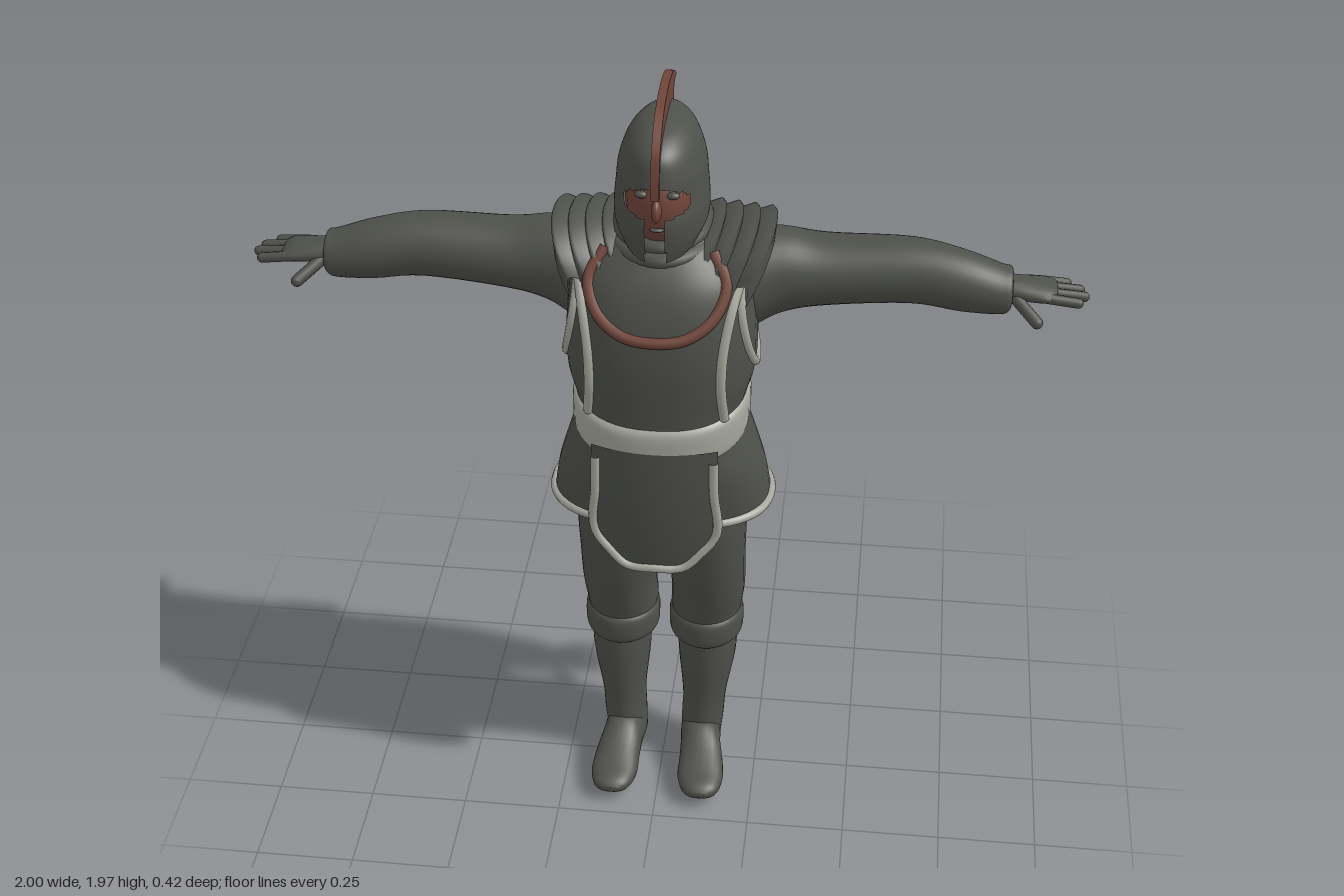
import * as THREE from 'three';

const mat = (name, color, side = THREE.DoubleSide) =>
  Object.assign(new THREE.MeshStandardMaterial({ color, side }), { name });
const V = (x, y, z) => new THREE.Vector3(x, y, z);

// Smoothly resample a short list of cross-sections [t, a, b, ra, rb]
function rings(sections, steps = 5) {
  const at = (i) => sections[Math.min(Math.max(i, 0), sections.length - 1)];
  const out = [];
  for (let i = 0; i < sections.length - 1; i++)
    for (let k = 0; k < steps; k++) {
      const u = k / steps, p = [at(i - 1), at(i), at(i + 1), at(i + 2)];
      out.push(p[1].map((v, c) => {
        const [a, b, d, e] = p.map((q) => q[c]);
        const r = 0.5 * (2 * b + (d - a) * u + (2 * a - 5 * b + 4 * d - e) * u * u + (3 * b - a - 3 * d + e) * u ** 3);
        return c > 2 ? Math.max(r, 0.001) : r;
      }));
    }
  out.push(sections[sections.length - 1]);
  return out;
}

function build(pos, idx) {
  const g = new THREE.BufferGeometry();
  g.setAttribute('position', new THREE.Float32BufferAttribute(pos, 3));
  g.setIndex(idx);
  g.computeVertexNormals();
  return g;
}

// Skin a stack of superellipse rings running along one axis
function loft(sections, { axis = 'y', n = 32, p = 2, steps = 5, warp, hole, caps = true } = {}) {
  const R = rings(sections, steps), pos = [], idx = [];
  const place = { y: (t, a, b) => V(a, t, b), x: (t, a, b) => V(t, b, a), z: (t, a, b) => V(b, a, t) }[axis];
  const pow = (c) => Math.sign(c) * Math.abs(c) ** (2 / p);
  const pts = [];
  for (const [t, a, b, ra, rb] of R)
    for (let j = 0; j < n; j++) {
      const th = (j / n) * Math.PI * 2;
      const q = place(t, a + ra * pow(Math.cos(th)), b + rb * pow(Math.sin(th)));
      if (warp) warp(q);
      pts.push(q);
    }
  for (let i = 0; i < R.length - 1; i++)
    for (let j = 0; j < n; j++) {
      const a = i * n + j, b = i * n + ((j + 1) % n), c = a + n, d = b + n;
      if (hole && hole(pts[a].clone().add(pts[d]).multiplyScalar(0.5))) continue;
      idx.push(a, c, b, b, c, d);
    }
  if (caps) {
    const last = (R.length - 1) * n, m = pts.length;
    for (const r of [R[0], R[R.length - 1]]) pts.push(place(r[0], r[1], r[2]));
    for (let j = 0; j < n; j++) {
      const k = (j + 1) % n;
      idx.push(m, j, k, m + 1, last + k, last + j);
    }
  }
  pts.forEach((q) => pos.push(q.x, q.y, q.z));
  return build(pos, idx);
}

// Surface grid from a rule fn(u, v)
function sheet(fn, nu, nv) {
  const pos = [], idx = [];
  for (let i = 0; i <= nu; i++) for (let j = 0; j <= nv; j++) pos.push(...fn(i / nu, j / nv));
  for (let i = 0; i < nu; i++)
    for (let j = 0; j < nv; j++) {
      const a = i * (nv + 1) + j, b = a + nv + 1;
      idx.push(a, a + 1, b, b, a + 1, b + 1);
    }
  return build(pos, idx);
}

const tube = (pts, r, closed = false) =>
  new THREE.TubeGeometry(new THREE.CatmullRomCurve3(pts, closed), 64, r, 8, closed);

function mirrored(geo) {
  const g = geo.clone().scale(-1, 1, 1), ix = g.index.array;
  for (let i = 0; i < ix.length; i += 3) [ix[i], ix[i + 1]] = [ix[i + 1], ix[i]];
  return g;
}

export function createModel() {
  const dark = mat('dark grey', 0x4e504a), light = mat('pale trim', 0xa6a79d), brown = mat('red brown', 0x70453a);
  const model = new THREE.Group();
  model.name = 'warrior';
  const add = (name, geo, m) => {
    const mesh = new THREE.Mesh(geo, m);
    mesh.name = name;
    model.add(mesh);
  };
  const pair = (name, geo, m) => {
    add(name + 'Left', geo, m);
    add(name + 'Right', mirrored(geo), m);
  };

  // Torso and skirt
  const P = 2.4;
  const torso = [[1.08, 0, 0.01, 0.2, 0.185], [1.2, 0, 0.01, 0.205, 0.19], [1.28, 0, 0.005, 0.225, 0.2], [1.37, 0, 0.003, 0.228, 0.205],
    [1.46, 0, 0, 0.222, 0.198], [1.54, 0, -0.012, 0.212, 0.18], [1.6, 0, -0.025, 0.165, 0.148], [1.65, 0, -0.03, 0.09, 0.1]];
  const skirt = [[0.885, 0, -0.012, 0.27, 0.178], [0.97, 0, 0, 0.257, 0.185], [1.05, 0, 0.01, 0.235, 0.19], [1.14, 0, 0.01, 0.205, 0.19]];
  add('torso', loft(torso, { p: P, n: 48 }), dark);
  add('skirt', loft(skirt, { p: P, n: 48, caps: false }), dark);
  const torsoRings = rings(torso, 8);
  const sectionAt = (y) => torsoRings.reduce((a, b) => (Math.abs(b[0] - y) < Math.abs(a[0] - y) ? b : a));
  const edge = (d, r) => Math.max(0, 1 - Math.abs(d / r) ** P) ** (1 / P);
  const onZ = (x, y, sign = 1) => { const s = sectionAt(y); return V(x, y, s[2] + sign * s[4] * edge(x, s[3])); };
  const onX = (y, z) => { const s = sectionAt(y); return V(s[3] * edge(z - s[2], s[4]), y, z); };

  // Belt, dipping at the front
  add('belt', loft([[1.105, 0, 0.01, 0.2, 0.185], [1.125, 0, 0.01, 0.213, 0.198], [1.165, 0, 0.01, 0.216, 0.201],
    [1.205, 0, 0.01, 0.214, 0.199], [1.22, 0, 0.01, 0.2, 0.185]],
  { p: P, n: 48, warp: (q) => { q.y -= 0.03 * (Math.max(0, q.z) / 0.21) ** 2; } }), light);

  // Front flap and its trim
  const flapBottom = (x) => 0.77 + 0.1 * THREE.MathUtils.smoothstep(Math.abs(x), 0.06, 0.155);
  const flapZ = (x, y) => 0.214 - 1.4 * x * x - 0.03 * ((1.12 - y) / 0.35) ** 2;
  add('frontFlap', sheet((u, v) => {
    const x = (u * 2 - 1) * 0.152, y = THREE.MathUtils.lerp(1.13, flapBottom(x), v);
    return [x, y, flapZ(x, y)];
  }, 24, 16), dark);
  const half = [[0.142, 1.1], [0.144, 1], [0.153, 0.9], [0.145, 0.86], [0.115, 0.82], [0.07, 0.775]];
  const outline = [...half, [0, 0.772], ...half.map(([x, y]) => [-x, y]).reverse()];
  add('flapTrim', tube(outline.map(([x, y]) => V(x, y, flapZ(x, y))), 0.012), light);
  const hem = [];
  for (let i = 0; i < 40; i++) {
    const t = (i / 40) * Math.PI * 2, f = (c) => Math.sign(c) * Math.abs(c) ** (2 / P);
    hem.push(V(0.27 * f(Math.cos(t)), 0.892, -0.012 + 0.178 * f(Math.sin(t))));
  }
  add('skirtHem', tube(hem, 0.012, true), light);

  // Tunic trim and brown collar
  pair('chestTrim', tube([[0.19, 1.55], [0.172, 1.48], [0.158, 1.39], [0.155, 1.3], [0.162, 1.2]].map(([x, y]) => onZ(x, y)), 0.013), light);
  pair('armholeTrim', tube([[1.56, 0.07], [1.47, 0.11], [1.38, 0.1], [1.31, 0.05], [1.285, -0.02], [1.31, -0.09], [1.38, -0.14],
    [1.46, -0.165], [1.55, -0.155]].map(([y, z]) => onX(y, z)), 0.012), light);
  add('backNeckTrim', tube([[0.13, 1.61], [0.08, 1.585], [0, 1.575], [-0.08, 1.585], [-0.13, 1.61]].map(([x, y]) => onZ(x, y, -1)), 0.013), light);
  const collar = [[0.125, 1.61], [0.16, 1.55], [0.135, 1.485], [0.075, 1.445]];
  add('collar', tube([...collar, [0, 1.435], ...collar.map(([x, y]) => [-x, y]).reverse()].map(([x, y]) => onZ(x, y)), 0.014), brown);

  // Neck wrapping
  add('neck', loft([[1.56, 0, -0.02, 0.09, 0.1], [1.72, 0, 0, 0.075, 0.09]]), dark);
  [[1.615, 0.115], [1.64, 0.1]].forEach(([y, r]) =>
    add('neckWrap', new THREE.TorusGeometry(r, 0.02, 10, 40).rotateX(Math.PI / 2 + 0.1).scale(1, 1, 1.15).translate(0, y, -0.02), dark));

  // Overlapping shoulder plates
  const lip = [[0, -0.02], [0.03, -0.004], [0.058, 0.004], [0.064, -0.004], [0.06, -0.05]];
  for (let i = 0; i < 4; i++)
    pair('shoulderPlate', sheet((u, v) => {
      const f = u * 2 - 1, [dx, dy] = lip[Math.round(v * 4)];
      return [0.08 + 0.04 * i + dx - 0.055 * f * f, 1.655 - 0.004 * i + dy - 0.1 * f * f, -0.045 + (0.14 + dx * 0.4) * Math.sin(f * 1.4)];
    }, 20, 4), dark);

  // Arms and hands
  pair('arm', loft([[0.12, -0.065, 1.465, 0.11, 0.11], [0.2, -0.07, 1.47, 0.115, 0.125], [0.28, -0.078, 1.49, 0.1, 0.105],
    [0.38, -0.082, 1.495, 0.094, 0.085], [0.58, -0.078, 1.507, 0.082, 0.078], [0.7, -0.064, 1.495, 0.074, 0.074],
    [0.79, -0.056, 1.482, 0.063, 0.06], [0.815, -0.056, 1.484, 0.057, 0.052], [0.82, -0.056, 1.486, 0.04, 0.035]], { axis: 'x' }), dark);
  pair('palm', loft([[0.79, -0.056, 1.488, 0.036, 0.03], [0.84, -0.056, 1.487, 0.045, 0.026], [0.9, -0.06, 1.483, 0.054, 0.021],
    [0.925, -0.06, 1.48, 0.045, 0.012]], { axis: 'x', n: 20 }), dark);
  const finger = (a, b, r) => {
    const g = new THREE.CapsuleGeometry(r, a.distanceTo(b) - r * 2, 4, 10);
    g.applyQuaternion(new THREE.Quaternion().setFromUnitVectors(V(0, 1, 0), b.clone().sub(a).normalize()));
    const m = a.clone().lerp(b, 0.5);
    return g.translate(m.x, m.y, m.z);
  };
  [[-0.1, 0.96, -0.112], [-0.074, 0.99, -0.084], [-0.047, 1, -0.053], [-0.02, 0.985, -0.02]].forEach(([z0, x1, z1]) =>
    pair('finger', finger(V(0.88, 1.485, z0), V(x1, 1.473, z1), 0.0125), dark));
  pair('thumb', finger(V(0.82, 1.482, -0.03), V(0.888, 1.437, 0.037), 0.015), dark);

  // Legs, knee cuffs and boots
  pair('thigh', loft([[0.45, 0.11, -0.055, 0.085, 0.09], [0.5, 0.11, -0.058, 0.092, 0.106], [0.58, 0.115, -0.04, 0.095, 0.115],
    [0.7, 0.113, -0.01, 0.098, 0.122], [0.85, 0.112, 0.005, 0.102, 0.138], [1, 0.11, 0, 0.1, 0.14]]), dark);
  pair('kneeCuff', loft([[0.402, 0.11, -0.055, 0.08, 0.09], [0.418, 0.11, -0.055, 0.094, 0.105], [0.45, 0.11, -0.055, 0.097, 0.109],
    [0.48, 0.11, -0.055, 0.095, 0.107], [0.496, 0.11, -0.055, 0.083, 0.094]]), dark);
  pair('bootShaft', loft([[0.05, 0.1, -0.05, 0.053, 0.06], [0.12, 0.104, -0.048, 0.056, 0.067], [0.2, 0.108, -0.052, 0.058, 0.073],
    [0.33, 0.113, -0.06, 0.075, 0.092], [0.45, 0.113, -0.06, 0.08, 0.095]]), dark);
  pair('foot', loft([[-0.115, 0.05, 0.1, 0.025, 0.02], [-0.1, 0.055, 0.1, 0.05, 0.04], [-0.05, 0.062, 0.1, 0.062, 0.053],
    [0.02, 0.069, 0.105, 0.062, 0.053], [0.08, 0.055, 0.112, 0.046, 0.058], [0.14, 0.045, 0.115, 0.033, 0.06],
    [0.19, 0.043, 0.117, 0.023, 0.045], [0.21, 0.044, 0.117, 0.008, 0.02]], { axis: 'z', p: 2.3, n: 24 }), dark);

  // Helmet with eye and mouth opening, lower at the cheeks than at the nape
  const opening = (q) => {
    const x = Math.abs(q.x);
    if (q.z < 0.05) return false;
    const eye = x < 0.075 && Math.abs(q.y - 1.775 + x * 0.1) < 0.032 * Math.sqrt(1 - (x / 0.076) ** 2) + 0.003;
    return eye || (q.y < 1.775 && x < 0.024);
  };
  add('helmet', loft([[1.645, 0, 0.005, 0.09, 0.15], [1.68, 0, 0.006, 0.108, 0.162], [1.72, 0, 0.008, 0.11, 0.167], [1.77, 0, 0.003, 0.106, 0.16],
    [1.82, 0, 0, 0.1, 0.158], [1.87, 0, -0.003, 0.082, 0.146], [1.9, 0, -0.008, 0.057, 0.112], [1.914, 0, -0.01, 0.028, 0.06],
    [1.918, 0, -0.01, 0.001, 0.001]],
  { n: 120, steps: 8, caps: false, hole: opening, warp: (q) => { if (q.y < 1.72) q.y -= (1.72 - q.y) * 0.35 * q.z / 0.15; } }), dark);

  // Face inside the helmet
  const ball = (sx, sy, sz, x, y, z) => new THREE.SphereGeometry(1, 24, 16).scale(sx, sy, sz).translate(x, y, z);
  add('face', ball(0.085, 0.13, 0.122, 0, 1.735, 0.012), brown);
  add('nose', ball(0.012, 0.028, 0.022, 0, 1.742, 0.135), brown);
  add('mouth', ball(0.017, 0.005, 0.01, 0, 1.69, 0.125), dark);
  pair('eye', ball(0.016, 0.009, 0.012, 0.036, 1.774, 0.115), dark);

  // Crest running from brow to nape, with a swept back tip
  const crest = new THREE.Shape();
  crest.moveTo(0.167, 1.785);
  crest.splineThru([[0.162, 1.84], [0.14, 1.9], [0.08, 1.95], [0, 1.972], [-0.08, 1.973], [-0.15, 1.957], [-0.2, 1.925]].map((c) => new THREE.Vector2(...c)));
  crest.splineThru([[-0.165, 1.926], [-0.14, 1.9], [-0.155, 1.86], [-0.163, 1.79], [-0.164, 1.68]].map((c) => new THREE.Vector2(...c)));
  [[-0.14, 1.68], [-0.135, 1.82], [-0.1, 1.88], [0.08, 1.88], [0.135, 1.83], [0.145, 1.785]].forEach((c) => crest.lineTo(...c));
  add('crest', new THREE.ExtrudeGeometry(crest, { depth: 0.02, bevelEnabled: false }).translate(0, 0, -0.01).rotateY(-Math.PI / 2), brown);

  return model;
}
